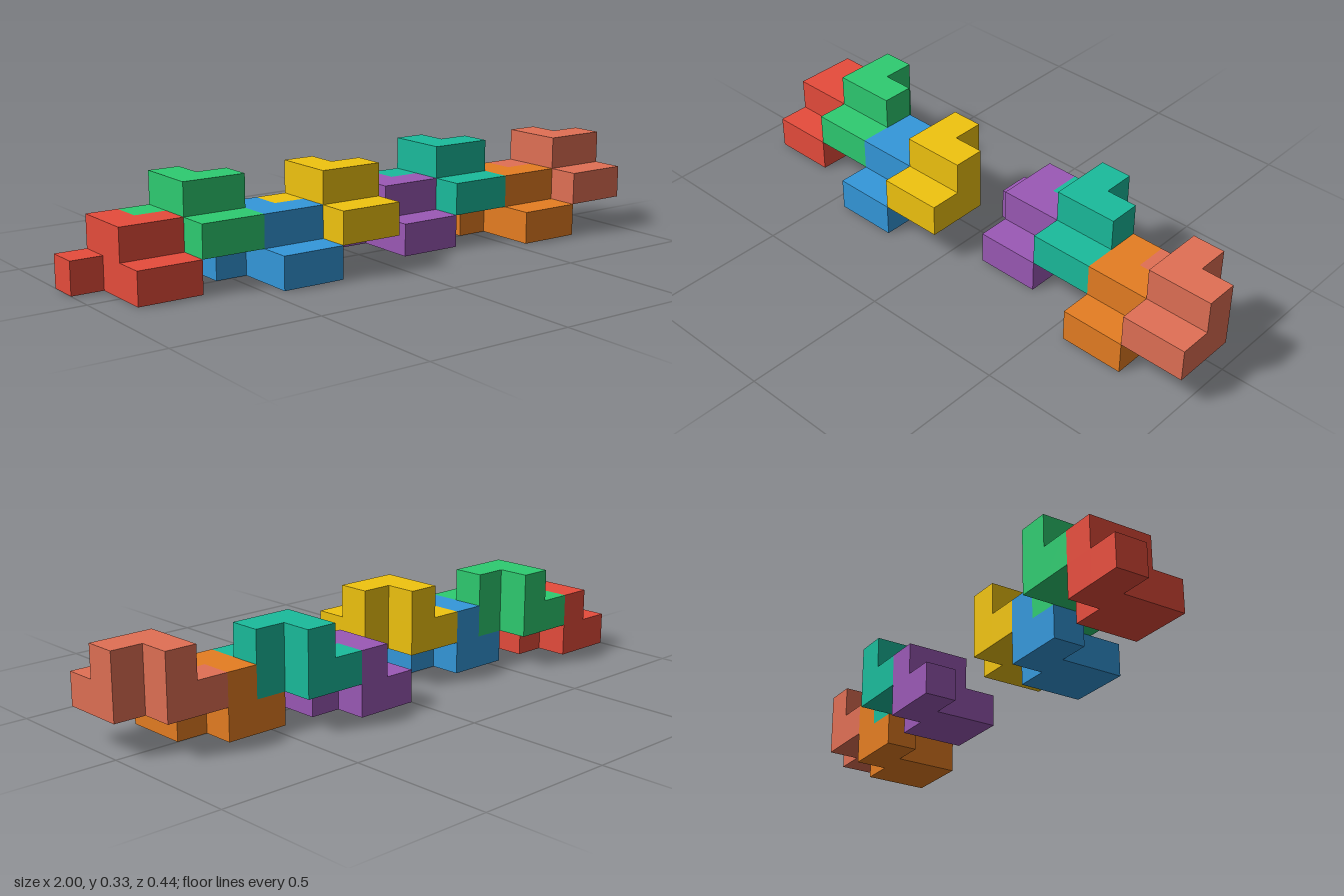
import * as THREE from 'three';
import { mergeGeometries } from 'three/addons/utils/BufferGeometryUtils.js';

const U = 1 / 9; // edge of one cube cell

// Cells of one interlocking block, as [x, y, z] of the minimum corner
const CELLS = [
  // lower layer: a 2 x 2 slab with a two-cell tail behind it
  [0, 0, 0], [1, 0, 0], [1, 0, 1], [2, 0, 1], [1, 0, 2], [2, 0, 2],
  // upper layer: an L of three cells
  [1, 1, 0], [1, 1, 1], [2, 1, 1],
];

// Outward direction of each cell side and the turn that aims a +z plane along it
const Q = Math.PI / 2;
const SIDES = [
  [[0, 0, 1], 0, 0], [[0, 0, -1], 0, 2 * Q],
  [[1, 0, 0], 0, Q], [[-1, 0, 0], 0, -Q],
  [[0, 1, 0], -Q, 0], [[0, -1, 0], Q, 0],
];

// Outer skin of the block: only the sides without a neighbouring cell
function blockGeometry() {
  const filled = new Set(CELLS.map(String));
  const faces = [];
  for (const cell of CELLS) {
    for (const [dir, turnX, turnY] of SIDES) {
      if (filled.has(String(cell.map((c, i) => c + dir[i])))) continue;
      const centre = cell.map((c, i) => (c + 0.5 + dir[i] / 2) * U);
      faces.push(new THREE.PlaneGeometry(U, U).rotateX(turnX).rotateY(turnY).translate(...centre));
    }
  }
  return mergeGeometries(faces);
}

// Name, colour and cell offset of each block
const BLOCKS = [
  ['redBlock', 0xe74c3c, -9, 0, -2],
  ['greenBlock', 0x2ecc71, -7, 1, -2],
  ['blueBlock', 0x3498db, -5, 0, -1],
  ['yellowBlock', 0xf1c40f, -3, 1, -1],
  ['purpleBlock', 0x9b59b6, 0, 0, -2],
  ['tealBlock', 0x1abc9c, 2, 1, -2],
  ['orangeBlock', 0xe67e22, 4, 0, -1],
  ['salmonBlock', 0xe17055, 6, 1, -1],
];

export function createModel() {
  const model = new THREE.Group();
  model.name = 'interlockingBlocks';
  const geometry = blockGeometry();
  for (const [name, color, x, y, z] of BLOCKS) {
    const block = new THREE.Mesh(geometry, new THREE.MeshStandardMaterial({ color }));
    block.name = name;
    block.position.set(x * U, y * U, z * U);
    model.add(block);
  }
  return model;
}
